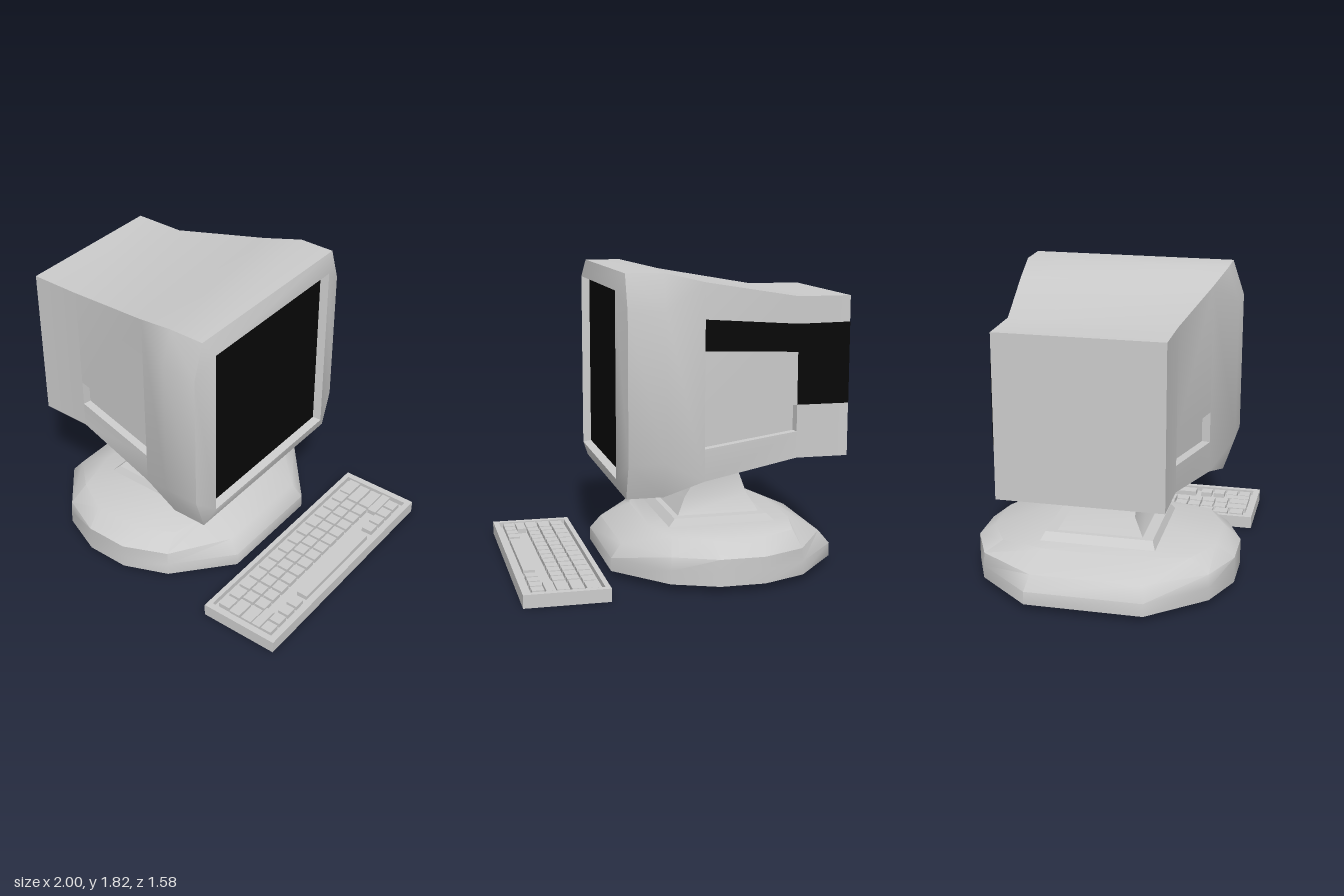
import * as THREE from 'three';
import { toCreasedNormals } from 'three/addons/utils/BufferGeometryUtils.js';

const grey = new THREE.MeshStandardMaterial({ color: 0xcccccc });
const black = new THREE.MeshStandardMaterial({ color: 0x080808, side: THREE.DoubleSide });

// Triangle soup helpers: skip collapsed triangles, fan-fill convex loops
function tri(out, a, b, c) {
  const [A, B, C] = [a, b, c].map((p) => new THREE.Vector3(...p));
  if (B.sub(A).cross(C.sub(A)).length() > 1e-7) out.push(...a, ...b, ...c);
}
function fill(out, ring) {
  for (let i = 1; i < ring.length - 1; i++) tri(out, ring[0], ring[i], ring[i + 1]);
}

// Skin a list of equal-length rings, counter-clockwise about the loft direction
function loft(rings, { start = true, end = true, skip = () => false } = {}) {
  const out = [];
  for (let s = 0; s < rings.length - 1; s++) {
    const a = rings[s], b = rings[s + 1];
    for (let i = 0; i < a.length; i++) {
      if (skip(s, i)) continue;
      const j = (i + 1) % a.length;
      tri(out, a[i], a[j], b[j]);
      tri(out, a[i], b[j], b[i]);
    }
  }
  if (start) fill(out, [...rings[0]].reverse());
  if (end) fill(out, rings[rings.length - 1]);
  return out;
}

function mesh(name, positions, material = grey, crease = 0.6) {
  let g = new THREE.BufferGeometry();
  g.setAttribute('position', new THREE.Float32BufferAttribute(positions, 3));
  g = toCreasedNormals(g, crease);
  const m = new THREE.Mesh(g, material);
  m.name = name;
  return m;
}

// Eight-point cross-section of the monitor; plain rectangles collapse the corners
function section(x, yT, yB, zc, hTop, hSide = hTop, y1 = yT, y0 = yB) {
  return [
    [x, yT, zc + hTop], [x, y1, zc + hSide], [x, y0, zc + hSide], [x, yB, zc + hTop],
    [x, yB, zc - hTop], [x, y0, zc - hSide], [x, y1, zc - hSide], [x, yT, zc - hTop],
  ];
}

function createMonitor() {
  const group = new THREE.Group();
  group.name = 'monitor';
  const screenRing = section(0.37, 1.715, 0.65, 0.023, 0.535);
  const shell = loft([
    section(-1, 1.66, 0.7, 0, 0.48),
    section(-0.68, 1.66, 0.7, 0, 0.48),
    section(-0.09, 1.76, 0.61, 0, 0.58),
    section(0.16, 1.82, 0.54, 0.01, 0.62, 0.69, 1.61, 0.75),
    section(0.38, 1.82, 0.54, 0.01, 0.62, 0.69, 1.61, 0.75),
    section(0.42, 1.72, 0.64, 0.02, 0.545),
    screenRing,
  ], { end: false, skip: (s, i) => s === 1 && (i === 1 || i === 5) });

  // Flared side walls, each with a recessed hand grip
  const wallZ = (x) => 0.48 + Math.max(0, x + 0.68) * 0.1 / 0.59;
  const outer = [[-0.68, 0.7], [-0.09, 0.61], [-0.09, 1.76], [-0.68, 1.66]];
  const slot = [[-0.68, 0.86], [-0.09, 0.8], [-0.09, 0.99], [-0.68, 1.02]];
  const rings = [
    outer.map(([x, y]) => [x, y, wallZ(x)]),
    slot.map(([x, y]) => [x, y, wallZ(x)]),
    slot.map(([x, y]) => [x + 0.008, y, wallZ(x) - 0.05]),
  ];
  const mirrored = rings.map((r) => r.map(([x, y, z]) => [x, y, -z]).reverse());
  for (const r of [rings, mirrored]) shell.push(...loft(r, { start: false }));
  group.add(mesh('monitorShell', shell));

  const screen = [];
  fill(screen, screenRing);
  group.add(mesh('screen', screen, black));

  // Dark panel wrapped over the bend of the far side
  const panel = [];
  for (const quad of [
    [[-1, 1.02], [-1, 1.505], [-0.68, 1.5], [-0.68, 1.02]],
    [[-0.68, 1.335], [-0.68, 1.5], [-0.09, 1.55], [-0.09, 1.37]],
  ]) fill(panel, quad.map(([x, y]) => [x, y, -wallZ(x) - 0.003]));
  group.add(mesh('sidePanel', panel, black));
  return group;
}

function createStand() {
  const group = new THREE.Group();
  group.name = 'stand';
  const cx = -0.265;

  // Twelve-sided foot from one mirrored quadrant
  const ring = (y, quadrant) => {
    const half = [...quadrant, ...[...quadrant].reverse().map(([x, z]) => [-x, z])];
    return [...half, ...half.map(([x, z]) => [-x, -z])].map(([x, z]) => [cx + x, y, -z]);
  };
  const rim = [[0.685, 0.35], [0.4, 0.68], [0.135, 0.79]];
  group.add(mesh('foot', loft([
    ring(0.04, rim),
    ring(0.12, rim),
    ring(0.2, [[0.62, 0.33], [0.395, 0.675], [0.135, 0.79]]),
    ring(0.285, [[0.44, 0.28], [0.37, 0.565], [0.155, 0.68]]),
  ]), grey, 0.8));

  // Stepped plinth and tapering neck
  const rect = (y, x0, x1, z) => [[x1, y, z], [x1, y, -z], [x0, y, -z], [x0, y, z]];
  group.add(mesh('plinth', loft([rect(0.28, -0.6, 0.07, 0.35), rect(0.328, -0.55, 0.025, 0.325)])));
  group.add(mesh('neck', loft([
    rect(0.325, -0.52, -0.01, 0.26),
    rect(0.43, -0.46, -0.07, 0.2),
    rect(0.615, -0.39, -0.19, 0.2),
    rect(0.66, -0.39, -0.19, 0.2),
  ])));
  return group;
}

function createKeyboard() {
  const group = new THREE.Group();
  group.name = 'keyboard';
  const rect = (y, x0, x1, z0, z1) => [[x1, y, z1], [x1, y, z0], [x0, y, z0], [x0, y, z1]];
  group.add(mesh('keyboardTray', loft([
    rect(0, 0.5, 1, -0.785, 0.78),
    rect(0.078, 0.5, 1, -0.785, 0.78),
    rect(0.078, 0.53, 0.965, -0.745, 0.74),
    rect(0.045, 0.53, 0.965, -0.745, 0.74),
  ])));

  const key = (x0, x1, z0, z1, name = 'key') => {
    const m = new THREE.Mesh(new THREE.BoxGeometry(x1 - x0, 0.035, z1 - z0), grey);
    m.position.set((x0 + x1) / 2, 0.0575, (z0 + z1) / 2);
    m.name = name;
    group.add(m);
  };
  const row = (x0, x1, zStart, zEnd, count) => {
    const pitch = (zEnd - zStart) / count;
    for (let i = 0; i < count; i++) {
      key(x0, x1, zStart + i * pitch + 0.008, zStart + (i + 1) * pitch - 0.008);
    }
  };
  // Far row, then two main rows with large end keys
  key(0.555, 0.63, -0.735, -0.605);
  row(0.555, 0.63, -0.6, 0.72, 13);
  for (const x of [0.642, 0.727]) {
    key(x, x + 0.072, -0.725, -0.565);
    row(x, x + 0.072, -0.555, 0.595, 13);
    key(x, x + 0.072, 0.603, 0.725);
  }
  // Short row and space bar row
  key(0.806, 0.862, -0.735, -0.55);
  key(0.806, 0.862, 0.57, 0.725);
  row(0.87, 0.94, -0.722, -0.37, 4);
  key(0.87, 0.94, -0.33, 0.35, 'spaceBar');
  row(0.87, 0.94, 0.38, 0.73, 4);
  return group;
}

export function createModel() {
  const model = new THREE.Group();
  model.name = 'desktopComputer';
  model.add(createMonitor(), createStand(), createKeyboard());
  return model;
}
